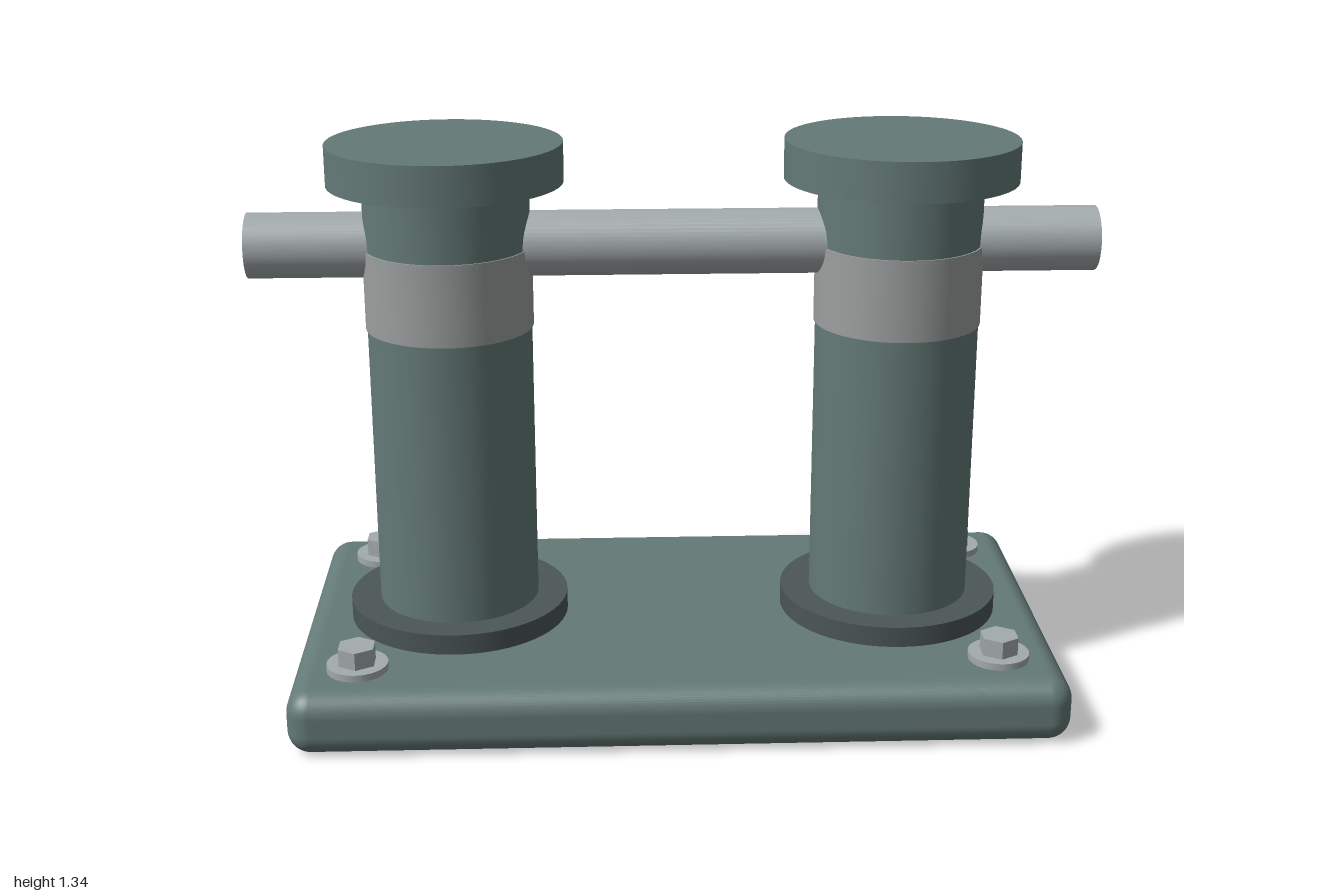
import * as THREE from 'three';
import { RoundedBoxGeometry } from 'three/addons/geometries/RoundedBoxGeometry.js';

const paint = new THREE.MeshStandardMaterial({ color: 0x647a77 });
const darkPaint = new THREE.MeshStandardMaterial({ color: 0x4b5655 });
const bandSteel = new THREE.MeshStandardMaterial({ color: 0x9c9f9f });
const steel = new THREE.MeshStandardMaterial({ color: 0xa3abad });
const boltSteel = new THREE.MeshStandardMaterial({ color: 0xa3abad, flatShading: true });

// Upright cylinder between two heights
function disc(name, radius, y0, y1, material, sides = 64) {
  const mesh = new THREE.Mesh(new THREE.CylinderGeometry(radius, radius, y1 - y0, sides), material);
  mesh.position.y = (y0 + y1) / 2;
  mesh.name = name;
  return mesh;
}

// Bollard post with foot flange, wear band and cap
function makePost(x) {
  const post = new THREE.Group();
  post.name = 'post';
  post.add(
    disc('footFlange', 0.267, 0.15, 0.205, darkPaint),
    disc('column', 0.195, 0.15, 1.25, paint),
    disc('wearBand', 0.199, 0.895, 1.09, bandSteel),
    disc('cap', 0.276, 1.24, 1.335, paint)
  );
  post.position.x = x;
  return post;
}

// Hex bolt on a washer
function makeBolt(x, z) {
  const bolt = new THREE.Group();
  bolt.name = 'bolt';
  bolt.add(
    disc('washer', 0.072, 0.155, 0.172, steel, 32),
    disc('hexHead', 0.047, 0.17, 0.215, boltSteel, 6)
  );
  bolt.position.set(x, 0, z);
  return bolt;
}

export function createModel() {
  const model = new THREE.Group();
  model.name = 'doubleBollard';

  // Rounded base plate
  const base = new THREE.Mesh(new RoundedBoxGeometry(1.82, 0.155, 0.976, 6, 0.055), paint);
  base.position.y = 0.0775;
  base.name = 'basePlate';
  model.add(base);

  // Crossbar through both posts
  const bar = new THREE.Mesh(new THREE.CylinderGeometry(0.077, 0.077, 2, 48), steel);
  bar.rotation.z = Math.PI / 2;
  bar.position.y = 1.092;
  bar.name = 'crossbar';
  model.add(bar);

  for (const side of [-1, 1]) {
    model.add(makePost(side * 0.534));
    for (const end of [-1, 1]) model.add(makeBolt(side * 0.755, end * 0.333));
  }
  return model;
}
